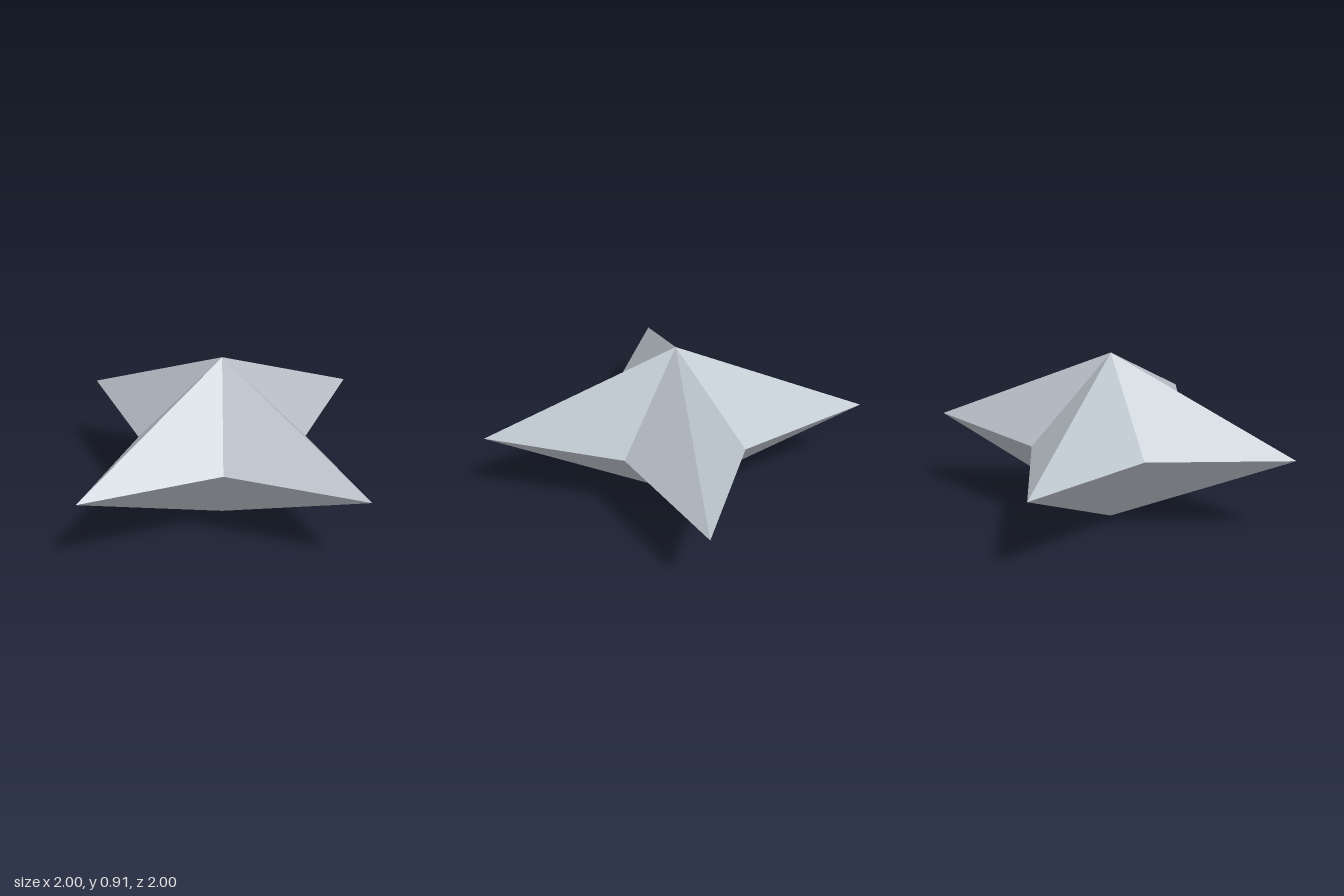
import * as THREE from 'three';

const HALF_HEIGHT = 0.453;
const TIP_RADIUS = 1;
const NOTCH_RADIUS = 0.31 * Math.SQRT2;

// Half of the star: eight facets from the outline to one apex (up = 1 or -1)
function starHalf(up) {
  const corner = (i) => {
    const r = i % 2 ? NOTCH_RADIUS : TIP_RADIUS;
    const a = (i * Math.PI) / 4;
    return [r * Math.cos(a), 0, r * Math.sin(a)];
  };
  const positions = [];
  for (let i = 0; i < 8; i++) {
    const [a, b] = up > 0 ? [i + 1, i] : [i, i + 1];
    positions.push(0, up * HALF_HEIGHT, 0, ...corner(a), ...corner(b));
  }
  const geometry = new THREE.BufferGeometry();
  geometry.setAttribute('position', new THREE.Float32BufferAttribute(positions, 3));
  geometry.computeVertexNormals(); // unshared corners keep the facets flat
  return geometry;
}

export function createModel() {
  const steel = new THREE.MeshStandardMaterial({ color: 0xb8c0c8 });
  steel.name = 'steelGrey';
  steel.flatShading = true;

  const star = new THREE.Group();
  star.name = 'fourPointStar';
  for (const [name, up] of [['upperHalf', 1], ['lowerHalf', -1]]) {
    const half = new THREE.Mesh(starHalf(up), steel);
    half.name = name;
    half.position.y = HALF_HEIGHT;
    star.add(half);
  }
  return star;
}
